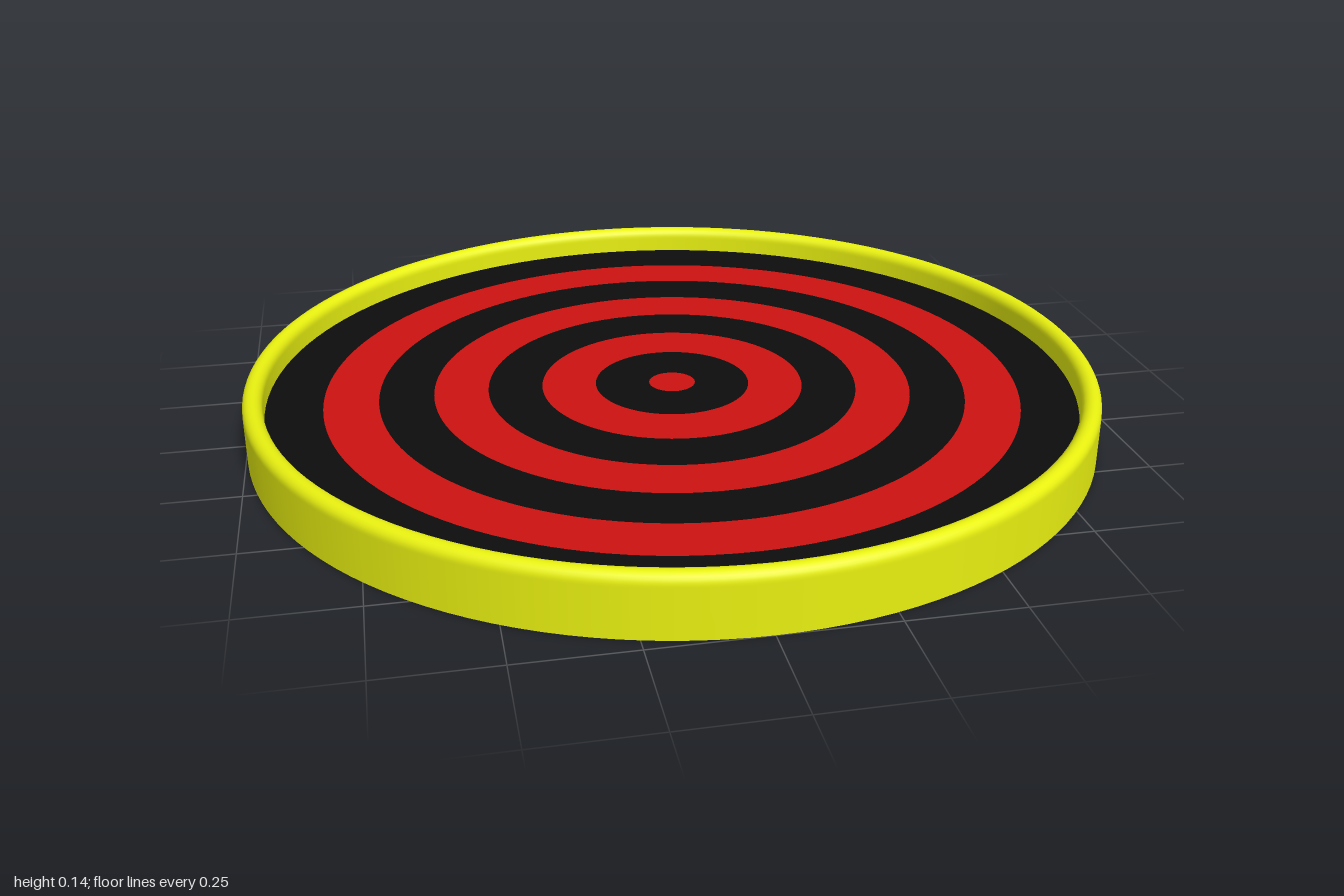
import * as THREE from 'three';

const SEGMENTS = 128;
const HEIGHT = 0.14;
const INNER = 0.955;   // inner radius of the rim
const FLOOR = 0.077;   // height of the target face

export function createModel() {
  const model = new THREE.Group();
  const yellow = new THREE.MeshStandardMaterial({ color: 0xe8f010 });
  const red = new THREE.MeshStandardMaterial({ color: 0xcc1210 });
  const black = new THREE.MeshStandardMaterial({ color: 0x0d0d0d });

  const add = (name, geometry, material) => {
    const mesh = new THREE.Mesh(geometry, material);
    mesh.name = name;
    model.add(mesh);
    return mesh;
  };

  // Rim: outer wall, rounded lip, inner wall
  const r = (1 - INNER) / 2;
  const lipY = HEIGHT - r;
  const profile = [new THREE.Vector2(1, 0), new THREE.Vector2(1, lipY - 0.005)];
  for (let i = 0; i <= 12; i++) {
    const a = (i / 12) * Math.PI;
    profile.push(new THREE.Vector2(1 - r + r * Math.cos(a), lipY + r * Math.sin(a)));
  }
  profile.push(new THREE.Vector2(INNER, lipY - 0.005), new THREE.Vector2(INNER, FLOOR));
  add('rim', new THREE.LatheGeometry(profile, SEGMENTS), yellow);

  // Flat underside
  add('base', new THREE.CircleGeometry(1, SEGMENTS).rotateX(Math.PI / 2), yellow);

  // Target face: bullseye and alternating concentric bands
  const bullseye = 0.055, band = 0.128;
  add('bullseye', new THREE.CircleGeometry(bullseye, SEGMENTS).rotateX(-Math.PI / 2), red).position.y = FLOOR;
  for (let i = 0; i < 7; i++) {
    const inner = bullseye + i * band;
    const outer = i === 6 ? INNER : inner + band;
    const ring = new THREE.RingGeometry(inner, outer, SEGMENTS).rotateX(-Math.PI / 2);
    add(`targetRing${i + 1}`, ring, i % 2 ? red : black).position.y = FLOOR;
  }

  return model;
}
